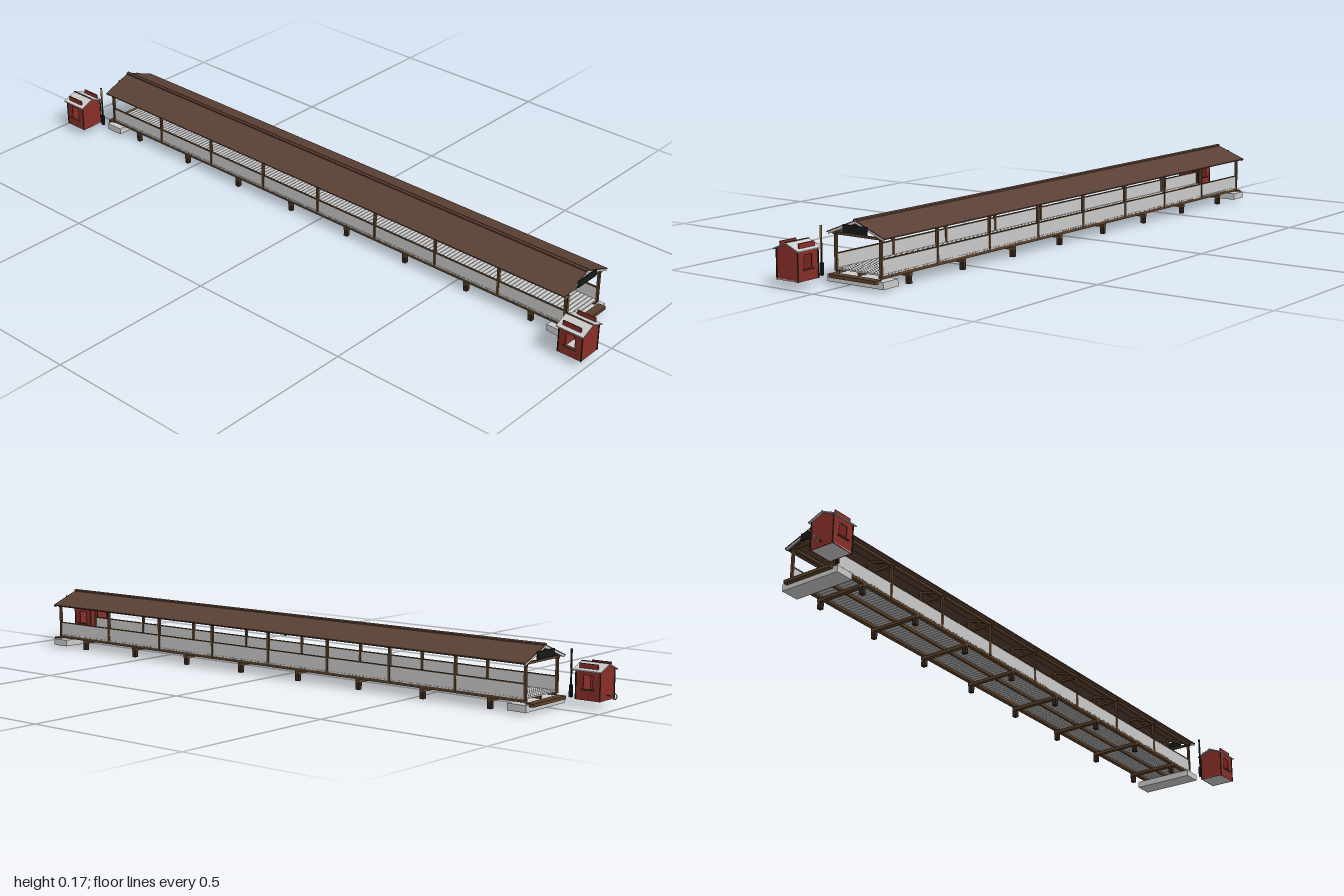
import * as THREE from 'three';

const GREY = 0xcccccc, TIMBER = 0x5a4028, DARK = 0x33241a, ROOF = 0x5b4034, RED = 0x8a2f28,
  YELLOW = 0xc9a23a, BLACK = 0x151a18;
const materials = {};
const mat = (color) => (materials[color] ??= new THREE.MeshStandardMaterial({ color }));

// Box given by its extents on each axis
function box(parent, name, color, [x0, x1], [y0, y1], [z0, z1]) {
  const mesh = new THREE.Mesh(new THREE.BoxGeometry(x1 - x0, y1 - y0, z1 - z0), mat(color));
  mesh.position.set((x0 + x1) / 2, (y0 + y1) / 2, (z0 + z1) / 2);
  mesh.name = name;
  parent.add(mesh);
  return mesh;
}

// Profile of [z, y] points extruded along x from x0 to x1
function prism(parent, name, color, points, x0, x1) {
  const shape = new THREE.Shape(points.map(([z, y]) => new THREE.Vector2(-z, y)));
  const geo = new THREE.ExtrudeGeometry(shape, { depth: x1 - x0, bevelEnabled: false });
  geo.rotateY(Math.PI / 2).translate(x0, 0, 0);
  const mesh = new THREE.Mesh(geo, mat(color));
  mesh.name = name;
  parent.add(mesh);
  return mesh;
}

// Inverted-V profile: half span w, ridge and eave heights, thickness t
const gable = (w, ridge, eave, t) =>
  [[-w, eave], [0, ridge], [w, eave], [w, eave - t], [0, ridge - t], [-w, eave - t]];

const around = (c, h) => [c - h, c + h];

function bridge() {
  const g = new THREE.Group();
  g.name = 'coveredBridge';
  const half = 0.863, bays = 8, bay = 2 * half / bays, side = 0.0745;

  // Abutments and end sills
  for (const s of [-1, 1]) {
    box(g, 'abutment', GREY, around(s * 0.849, 0.028), [0.007, 0.026], around(0, 0.0925));
    box(g, 'endSill', TIMBER, around(s * 0.878, 0.012), [0.02, 0.029], around(0, 0.0775));
  }

  // Cross beams on short piles, one below each bay
  for (let i = 0; i < bays; i++) {
    const x = -half + (i + 0.5) * bay;
    box(g, 'crossBeam', TIMBER, around(x, 0.006), [0.02, 0.029], around(0, 0.0775));
    for (const s of [-1, 1])
      box(g, 'pile', DARK, around(x, 0.006), [0, 0.022], around(s * 0.0705, 0.006));
  }

  // Stringers and deck planks
  for (const z of [-0.0705, 0, 0.0705])
    box(g, 'stringer', TIMBER, [-half, half], [0.029, 0.037], around(z, z ? 0.006 : 0.0035));
  const planks = 140, pitch = 2 * half / planks;
  for (let i = 0; i < planks; i++)
    box(g, 'deckPlank', GREY, around(-half + (i + 0.5) * pitch, pitch * 0.43), [0.037, 0.041], around(0, 0.077));

  // Side walls, rails, wall plates and posts
  for (const s of [-1, 1]) {
    box(g, 'sideWall', GREY, [-half, half], [0.034, 0.077], around(s * side, 0.0015));
    box(g, 'handRail', TIMBER, [-half, half], [0.076, 0.079], around(s * side, 0.0025));
    box(g, 'wallPlate', TIMBER, [-half - 0.006, half + 0.006], [0.127, 0.134], around(s * side, 0.004));
    for (let i = 0; i <= bays; i++)
      box(g, 'post', TIMBER, around(-half + i * bay, 0.0035), [0.034, 0.128], around(s * side, 0.0035));
  }

  // Roof trusses
  for (let i = 0; i <= bays; i++) {
    const x = -half + i * bay;
    box(g, 'tieBeam', TIMBER, around(x, 0.0035), [0.127, 0.133], around(0, 0.083));
    box(g, 'kingPost', TIMBER, around(x, 0.003), [0.132, 0.164], around(0, 0.003));
    prism(g, 'rafters', TIMBER, gable(0.082, 0.166, 0.138, 0.006), x - 0.003, x + 0.003);
  }

  // Roof with ridge cap, grey barge boards and end boards
  prism(g, 'roof', ROOF, gable(0.095, 0.171, 0.134, 0.003), -0.874, 0.874);
  prism(g, 'ridgeCap', ROOF, gable(0.006, 0.175, 0.1725, 0.005), -0.874, 0.874);
  for (const s of [-1, 1]) {
    prism(g, 'bargeBoard', GREY, gable(0.092, 0.168, 0.1325, 0.006), s * 0.871 - 0.002, s * 0.871 + 0.002);
    box(g, 'endBoard', BLACK, around(s * 0.874, 0.002), [0.137, 0.157], around(0, 0.04));
  }

  // Hanging lantern
  box(g, 'lanternCord', DARK, around(0, 0.0006), [0.118, 0.162], around(0, 0.0006));
  box(g, 'lantern', YELLOW, around(0, 0.003), [0.109, 0.118], around(0, 0.003));
  box(g, 'lanternCap', DARK, around(0, 0.0038), [0.117, 0.119], around(0, 0.0038));

  g.position.set(0.011, 0, -0.038);
  return g;
}

// Small kiosk, centred on its own x and z
function kiosk() {
  const g = new THREE.Group();
  g.name = 'kiosk';
  const w = 0.036, d = 0.036, y0 = 0.02, y1 = 0.1;

  // Front and back walls with a serving window
  for (const s of [-1, 1]) {
    const wall = new THREE.Shape([[-w, y0], [w, y0], [w, y1], [-w, y1]].map((p) => new THREE.Vector2(...p)));
    wall.holes.push(new THREE.Path(
      [[-0.014, 0.05], [-0.014, 0.086], [0.014, 0.086], [0.014, 0.05]].map((p) => new THREE.Vector2(...p))));
    const mesh = new THREE.Mesh(
      new THREE.ExtrudeGeometry(wall, { depth: 0.003, bevelEnabled: false }), mat(RED));
    mesh.position.z = s * (d - 0.0015) - 0.0015;
    mesh.name = 'windowWall';
    g.add(mesh);
    box(g, 'counter', TIMBER, [-0.019, 0.019], [0.047, 0.05], around(s * (d + 0.001), 0.004));
    box(g, 'roofBoard', RED, [-0.028, 0.028], [0.099, 0.116], around(s * 0.0315, 0.002));
    // Gabled end walls and corner trim
    prism(g, 'endWall', RED, [[-d, y0], [d, y0], [d, y1], [0, 0.114], [-d, y1]],
      s * (w - 0.0015) - 0.0015, s * (w - 0.0015) + 0.0015);
    for (const t of [-1, 1])
      box(g, 'cornerTrim', DARK, around(s * w, 0.0015), [y0, y1], around(t * d, 0.0015));
  }
  box(g, 'floor', GREY, [-w, w], [y0, y0 + 0.003], [-d, d]);
  prism(g, 'kioskRoof', GREY, gable(0.043, 0.117, 0.099, 0.003), -0.042, 0.042);
  box(g, 'kioskRidge', TIMBER, [-0.042, 0.042], [0.115, 0.118], around(0, 0.002));
  return g;
}

// Slim pole with a heavy foot
function pole() {
  const g = new THREE.Group();
  g.name = 'markerPole';
  box(g, 'poleFoot', BLACK, around(0, 0.004), [0.022, 0.055], around(0, 0.004));
  box(g, 'poleShaft', DARK, around(0, 0.0018), [0.05, 0.15], around(0, 0.0018));
  box(g, 'poleStripe', YELLOW, [0.001, 0.0024], [0.1, 0.15], around(0, 0.0024));
  return g;
}

export function createModel() {
  const model = new THREE.Group();
  model.name = 'coveredBridgeWithKiosks';
  model.add(bridge());
  for (const s of [-1, 1]) {
    const hut = kiosk();
    hut.position.set(0.011 + s * 0.944, 0, 0.092);
    model.add(hut);
    const marker = pole();
    marker.position.set(0.01 + s * 0.888, 0, 0.064);
    model.add(marker);
  }

  // Ring on an arm beside the right kiosk
  const ring = new THREE.Mesh(new THREE.TorusGeometry(0.008, 0.0016, 8, 20), mat(GREY));
  ring.position.set(-0.99, 0.033, 0.092);
  ring.name = 'ring';
  model.add(ring);
  box(model, 'ringArm', DARK, [-0.984, -0.965], [0.032, 0.034], around(0.092, 0.001));
  return model;
}
